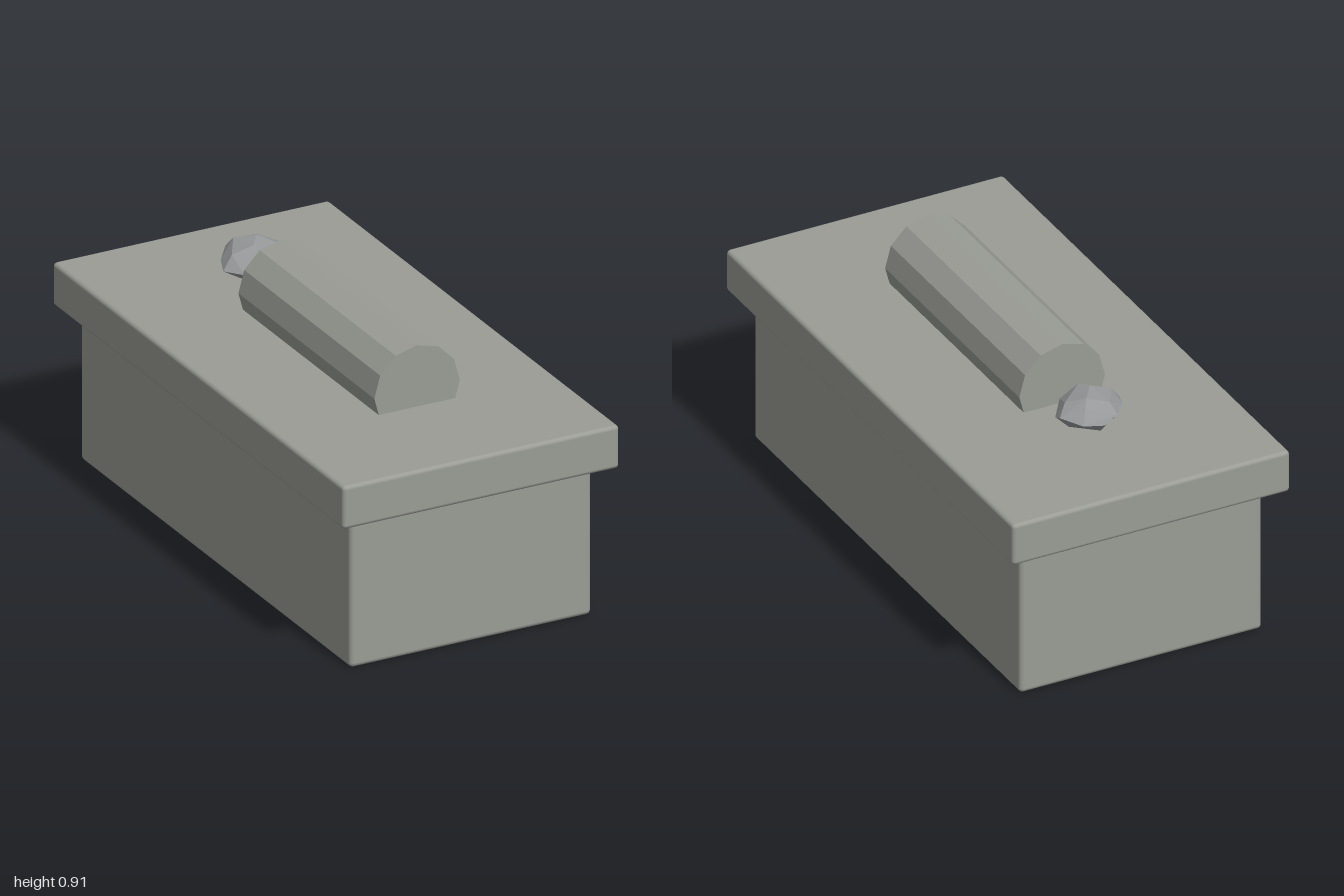
import * as THREE from 'three';
import { RoundedBoxGeometry } from 'three/addons/geometries/RoundedBoxGeometry.js';
import { ConvexGeometry } from 'three/addons/geometries/ConvexGeometry.js';

export function createModel() {
  const group = new THREE.Group();
  const stone = new THREE.MeshStandardMaterial({ color: 0x9a9c95 });
  const carvedStone = new THREE.MeshStandardMaterial({ color: 0x9a9c95, flatShading: true });
  const headStone = new THREE.MeshStandardMaterial({ color: 0x97999b, flatShading: true });

  const add = (name, geometry, material, x, y, z) => {
    const mesh = new THREE.Mesh(geometry, material);
    mesh.name = name;
    mesh.position.set(x, y, z);
    group.add(mesh);
    return mesh;
  };

  // Stone chest and overhanging lid, both with softened edges
  add('chest', new RoundedBoxGeometry(0.893, 0.56, 1.856, 2, 0.016), stone, 0, 0.28, 0);
  add('lid', new RoundedBoxGeometry(1.023, 0.154, 2, 2, 0.014), stone, 0, 0.616, 0);

  // Twelve-sided body lying along the lid, partly sunk into it
  const body = add('effigyBody', new THREE.CylinderGeometry(0.158, 0.158, 0.934, 12), carvedStone, 0, 0.755, 0.09);
  body.rotation.x = Math.PI / 2;

  // Rough faceted head: an irregular outline stacked at several heights
  const outline = [
    [-0.128, 0.03], [-0.105, -0.03], [-0.05, -0.1], [0, -0.11], [0.075, -0.1],
    [0.128, -0.035], [0.118, 0.015], [0.06, 0.095], [0, 0.11], [-0.08, 0.09],
  ];
  const points = [];
  outline.forEach(([x, z], i) => {
    const wobble = (i % 3 - 1) * 0.012;
    points.push(new THREE.Vector3(x, wobble, z));
    if (i % 2 === 0) points.push(new THREE.Vector3(x * 0.72, 0.042 + wobble * 0.5, z * 0.72));
    else points.push(new THREE.Vector3(x * 0.7, -0.042 + wobble * 0.5, z * 0.7));
  });
  points.push(
    new THREE.Vector3(0.03, 0.06, -0.035), new THREE.Vector3(-0.02, 0.06, 0.035),
    new THREE.Vector3(-0.03, -0.06, -0.02), new THREE.Vector3(0.03, -0.06, 0.035),
  );
  add('effigyHead', new ConvexGeometry(points), headStone, 0, 0.774, -0.567);

  return group;
}
